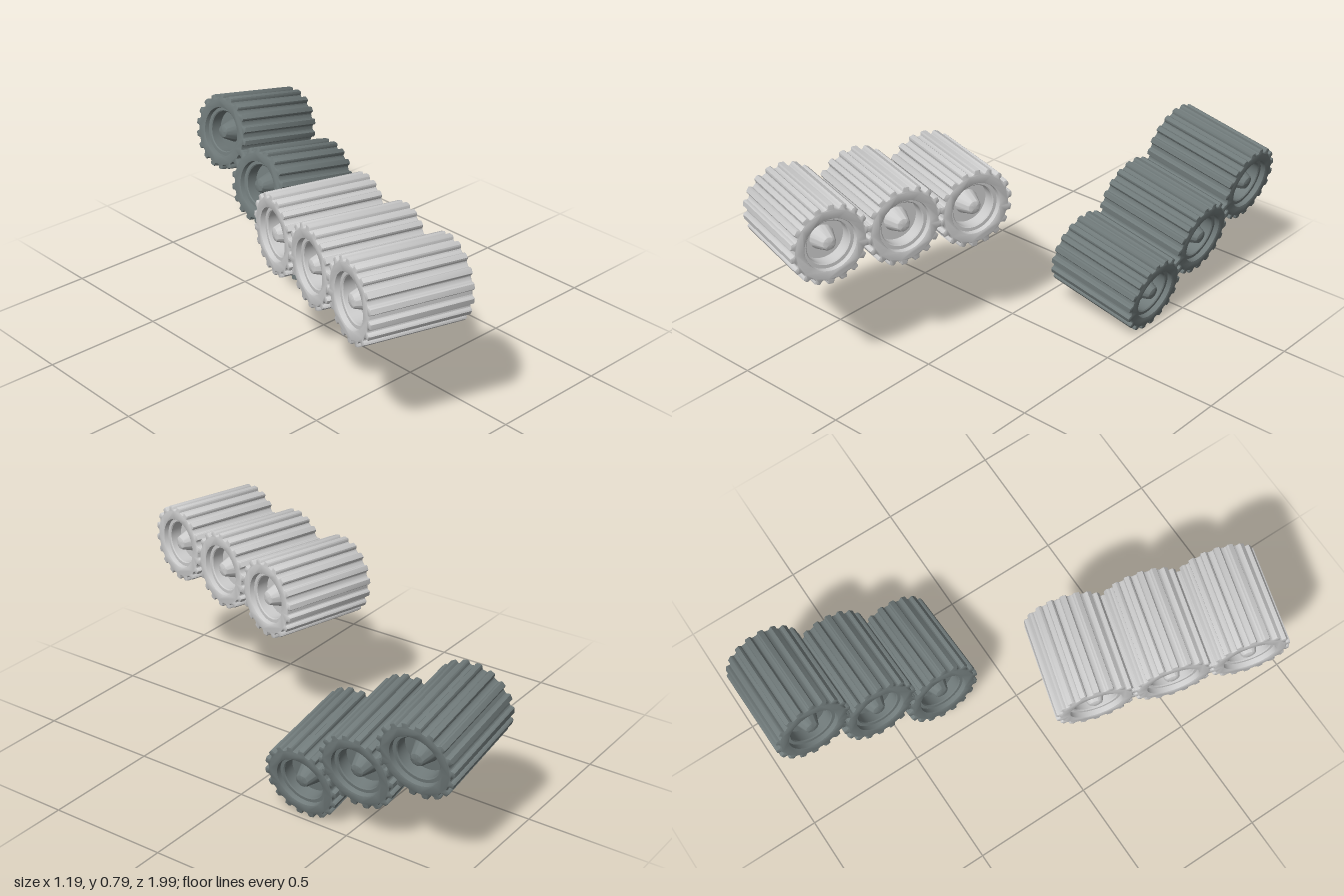
import * as THREE from 'three';
import { toCreasedNormals } from 'three/addons/utils/BufferGeometryUtils.js';

const TEETH = 18, TIP = 0.165, ROOT = 0.147, BORE = 0.106, LENGTH = 0.415, BEVEL = 0.005;

// Toothed drum along z, open through the middle
function drumGeometry() {
  const pitch = (Math.PI * 2) / TEETH;
  const tooth = [[-0.36, ROOT], [-0.28, ROOT + 0.003], [-0.24, TIP - 0.005], [-0.17, TIP],
    [0.17, TIP], [0.24, TIP - 0.005], [0.28, ROOT + 0.003], [0.36, ROOT]];
  const points = [];
  for (let i = 0; i < TEETH; i++) {
    for (const [t, r] of tooth) {
      const a = (i + 0.5 + t) * pitch; // a gap lies on the local x axis
      points.push(new THREE.Vector2(Math.cos(a) * r, Math.sin(a) * r));
    }
  }
  const shape = new THREE.Shape(points);
  shape.holes.push(new THREE.Path().absarc(0, 0, BORE, 0, Math.PI * 2, true));
  const geometry = new THREE.ExtrudeGeometry(shape, {
    depth: LENGTH - 2 * BEVEL, curveSegments: 24, bevelEnabled: true,
    bevelThickness: BEVEL, bevelSize: BEVEL, bevelOffset: -BEVEL, bevelSegments: 2,
  });
  geometry.translate(0, 0, -LENGTH / 2 + BEVEL);
  return toCreasedNormals(geometry, 0.6);
}

// Stepped recess with a tapered hub, facing +z
function hubGeometry() {
  const profile = [[BORE + 0.004, -0.022], [0.092, -0.022], [0.088, -0.026], [0.088, -0.075],
    [0.05, -0.075], [0.03, -0.018], [0.026, -0.012], [0.016, -0.008], [0, -0.007]];
  const geometry = new THREE.LatheGeometry(profile.map(([r, y]) => new THREE.Vector2(r, y)), 48);
  geometry.rotateX(Math.PI / 2).translate(0, 0, LENGTH / 2);
  return toCreasedNormals(geometry, 0.6);
}

export function createModel() {
  const model = new THREE.Group();
  model.name = 'rollerSets';
  const drum = drumGeometry(), hub = hubGeometry();

  // Three rollers in a row: middle centre, axle direction, step from one roller to the next
  function rollerRow(name, color, centre, axle, step) {
    const row = new THREE.Group();
    row.name = name;
    const material = new THREE.MeshStandardMaterial({ color });
    const z = axle.clone().normalize();
    const y = new THREE.Vector3().crossVectors(z, step).normalize();
    const x = new THREE.Vector3().crossVectors(y, z);
    const turn = new THREE.Matrix4().makeBasis(x, y, z);
    for (const i of [-1, 0, 1]) {
      const roller = new THREE.Group();
      roller.name = 'roller';
      roller.quaternion.setFromRotationMatrix(turn);
      roller.position.copy(centre).addScaledVector(step, i);

      const body = new THREE.Mesh(drum, material);
      body.name = 'toothedDrum';
      roller.add(body);
      for (const side of [0, 1]) {
        const end = new THREE.Mesh(hub, material);
        end.name = side ? 'innerHub' : 'outerHub';
        end.rotation.y = side * Math.PI;
        roller.add(end);
      }
      row.add(roller);
    }
    model.add(row);
  }

  const v = (x, y, z) => new THREE.Vector3(x, y, z);
  rollerRow('frontRollers', 0xcccccc, v(-0.265, 0.615, 0.478), v(0.961, 0, 0.277), v(-0.0865, 0.015, 0.3));
  rollerRow('rearRollers', 0x707a7a, v(0.334, 0.36, -0.562), v(0.981, -0.19, 0), v(0.03, 0.155, -0.271));
  return model;
}
